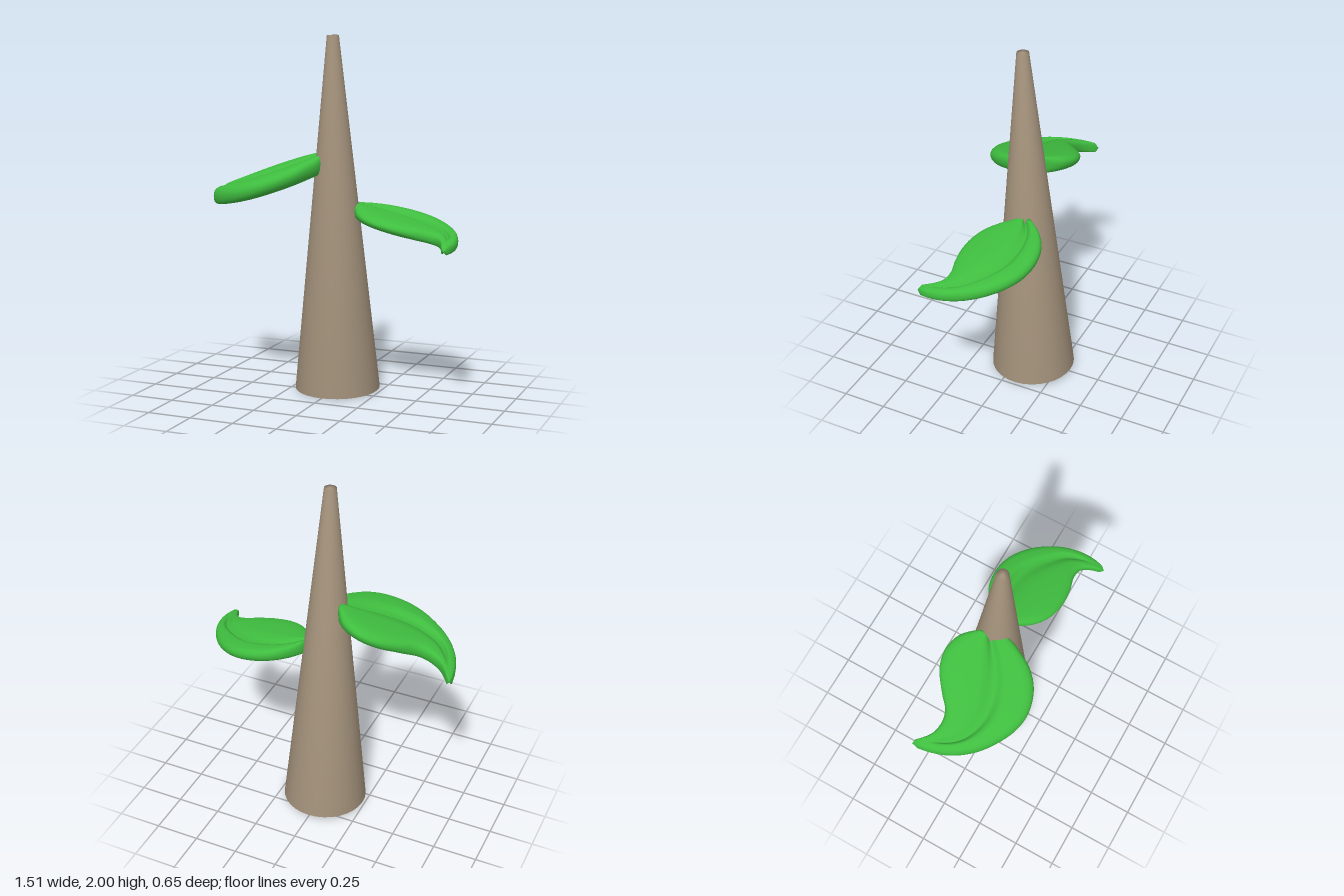
import * as THREE from 'three';

const bark = new THREE.MeshStandardMaterial({ color: 0xa8967f });
const green = new THREE.MeshStandardMaterial({ color: 0x3fbd3f });

const spline = (pts) => new THREE.CatmullRomCurve3(pts.map(([x, z]) => new THREE.Vector3(x, 0, z)));

// Puffy leaf lofted along its length: outer edge, midrib and inner edge are (x, z) curves,
// lying on the sloping plane y = a + b x + c z, with the given rise above and drop below it
function makeLeaf({ outer, rib, inner, plane: [a, b, c], rise, drop, droop }) {
  const rows = 40, half = 24, ring = half * 2;
  const [A, M, B] = [outer, rib, inner].map(spline);
  const pos = [], index = [];
  for (let i = 0; i <= rows; i++) {
    const t = i / rows;
    const pa = A.getPointAt(t), pm = M.getPointAt(t), pb = B.getPointAt(t);
    const taper = 1 - 0.5 * Math.pow(t, 4);
    const groove = 0.85 * THREE.MathUtils.smoothstep(0.92 - t, 0, 0.15);
    for (let j = 0; j < ring; j++) {
      const top = j <= half;
      // Samples crowd towards the rounded rims
      const k = top ? j / half : (ring - j) / half;
      const s = (1 - Math.cos(Math.PI * k)) / 2;
      const p = s < 0.5 ? pa.clone().lerp(pm, 2 * s) : pm.clone().lerp(pb, 2 * s - 1);
      const rim = Math.sqrt(Math.max(0, 1 - Math.pow(2 * s - 1, 6)));
      const mid = s - 0.5;
      const y = taper * (top
        ? rise * (rim - groove * Math.exp(-((mid / 0.07) ** 2)))
        : -drop * (rim - 0.45 * Math.exp(-((mid / 0.25) ** 2))));
      // Both ends close on a single point
      const end = i === 0 || i === rows;
      if (end) p.copy(pa).add(pb).multiplyScalar(0.5);
      pos.push(p.x, a + b * p.x + c * p.z + (end ? 0 : y) - droop * t ** 6, p.z);
      if (i < rows) {
        const n = (j + 1) % ring, r = i * ring, q = r + ring;
        index.push(r + j, r + n, q + j, r + n, q + n, q + j);
      }
    }
  }
  const g = new THREE.BufferGeometry();
  g.setAttribute('position', new THREE.Float32BufferAttribute(pos, 3));
  g.setIndex(index);
  g.computeVertexNormals();
  return new THREE.Mesh(g, green);
}

export function createModel() {
  const model = new THREE.Group();

  // Tapering stem, leaning slightly forward, shaded smoothly over its ends
  const profile = [[0, 0], [0.24, 0], [0.033, 1.988], [0, 1.988]];
  const stem = new THREE.Mesh(
    new THREE.LatheGeometry(profile.map(([x, y]) => new THREE.Vector2(x, y)), 32), bark);
  stem.name = 'stem';
  stem.position.set(0, 0.01, -0.085);
  stem.rotation.x = 0.037;
  model.add(stem);

  // Lower leaf on the left side
  const leftLeaf = makeLeaf({
    outer: [[0.1, -0.1], [0.13, -0.15], [0.19, -0.21], [0.27, -0.255], [0.37, -0.272], [0.48, -0.255],
      [0.58, -0.2], [0.66, -0.12], [0.72, -0.02], [0.75, 0.08], [0.754, 0.16], [0.735, 0.25]],
    rib: [[0.1, -0.07], [0.2, -0.13], [0.32, -0.15], [0.46, -0.13], [0.58, -0.06], [0.68, 0.04], [0.725, 0.248]],
    inner: [[0.1, -0.06], [0.125, -0.02], [0.16, 0.04], [0.22, 0.1], [0.3, 0.14], [0.4, 0.155], [0.5, 0.145],
      [0.58, 0.125], [0.64, 0.13], [0.68, 0.17], [0.71, 0.245]],
    plane: [1.05, -0.18, -0.05], rise: 0.04, drop: 0.045, droop: 0.02,
  });
  leftLeaf.name = 'leftLeaf';

  // Upper leaf on the right side
  const rightLeaf = makeLeaf({
    outer: [[-0.04, 0.0], [-0.05, 0.08], [-0.075, 0.14], [-0.12, 0.22], [-0.2, 0.29], [-0.32, 0.325], [-0.42, 0.31],
      [-0.52, 0.26], [-0.62, 0.18], [-0.7, 0.07], [-0.74, -0.04], [-0.755, -0.14]],
    rib: [[-0.07, -0.06], [-0.15, 0.01], [-0.25, 0.08], [-0.38, 0.13], [-0.5, 0.13], [-0.62, 0.07], [-0.745, -0.148]],
    inner: [[-0.08, -0.09], [-0.11, -0.14], [-0.16, -0.19], [-0.25, -0.22], [-0.35, -0.2], [-0.45, -0.13],
      [-0.52, -0.07], [-0.58, -0.055], [-0.65, -0.07], [-0.7, -0.11], [-0.735, -0.153]],
    plane: [1.315, 0.29, -0.16], rise: 0.05, drop: 0.065, droop: 0.04,
  });
  rightLeaf.name = 'rightLeaf';

  model.add(leftLeaf, rightLeaf);
  return model;
}
